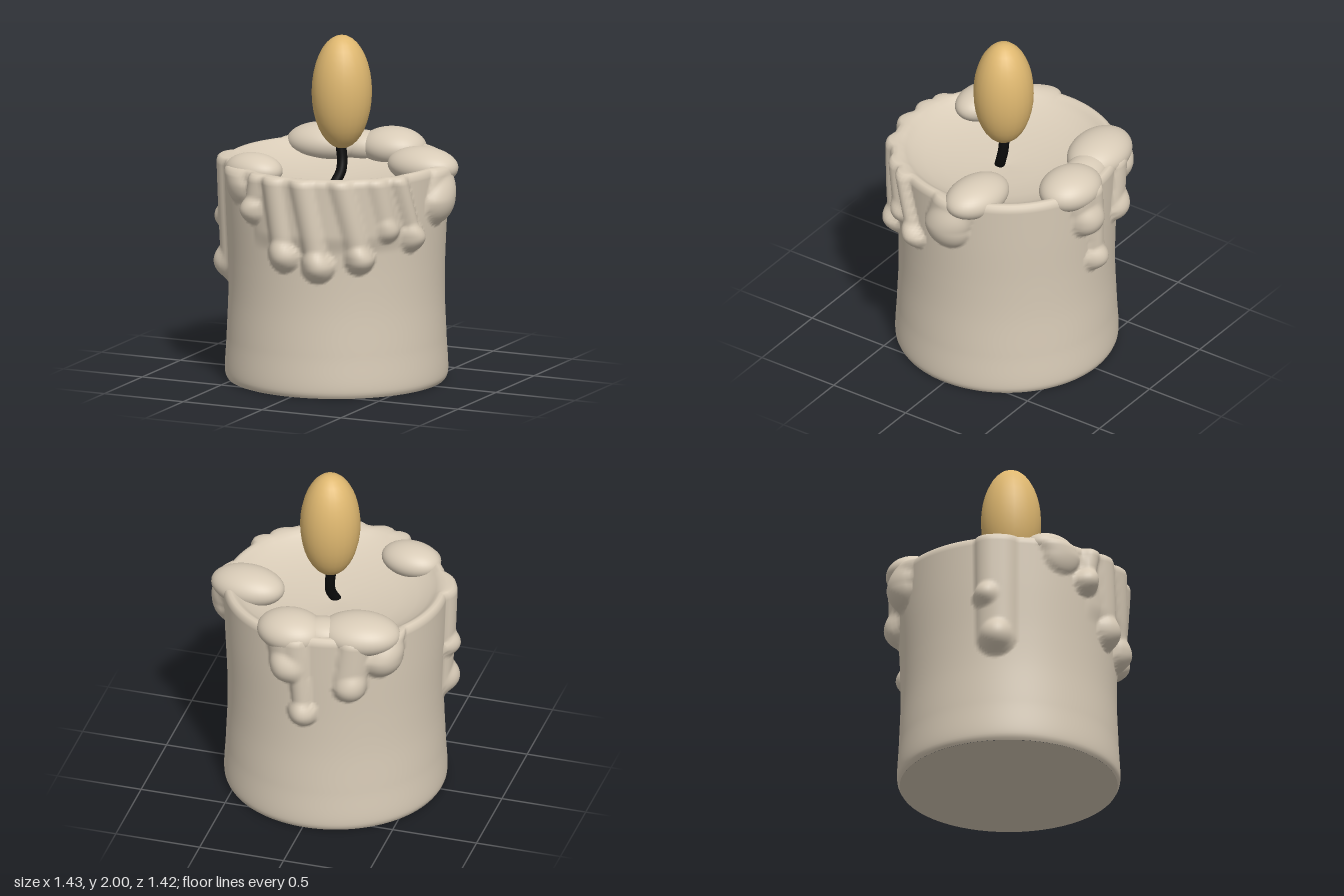
import * as THREE from 'three';

const wax = new THREE.MeshStandardMaterial({ color: 0xd8cbb7 });
wax.name = 'wax';
const flameYellow = new THREE.MeshStandardMaterial({ color: 0xdfb870 });
flameYellow.name = 'flame yellow';
const charBlack = new THREE.MeshStandardMaterial({ color: 0x0b0b0b });
charBlack.name = 'char black';

// Drips: angle at rim and at tip (degrees from the front towards +x),
// height of the tip bulb, stem half width, stem depth, bulb radius, bulb depth
const drips = [
  [-19, -23, 1.07, 0.06, 0.045, 0.085, 0.075],
  [-9, -3, 0.83, 0.075, 0.05, 0.1, 0.075],
  [7, 16, 0.78, 0.075, 0.055, 0.1, 0.08],
  [27, 38, 0.82, 0.075, 0.055, 0.09, 0.08],
  [46, 53, 0.98, 0.07, 0.045, 0.08, 0.055],
  [58, 69, 0.92, 0.06, 0.05, 0.09, 0.075],
  [98, 92, 1.1, 0.15, 0.05, 0.15, 0.085],
  [168, 171, 1.08, 0.11, 0.05, 0.11, 0.085],
  [176, 179, 0.78, 0.06, 0.045, 0.09, 0.075],
  [208, 204, 0.97, 0.1, 0.05, 0.1, 0.075],
  [226, 222, 1.14, 0.11, 0.05, 0.13, 0.085],
  [282, 282, 0.91, 0.07, 0.04, 0.08, 0.08],
  [287, 287, 0.66, 0.12, 0.05, 0.1, 0.085],
  [318, 322, 1.2, 0.12, 0.035, 0.12, 0.035],
];
const RIM = 1.285;
const deg = Math.PI / 180;
const dome = (d2) => Math.pow(Math.max(0, 1 - d2), 0.7);

// Depth of the run-down wax at an angle and height, blended from all drips
function dripDepth(angle, y) {
  let sum = 0;
  for (const [top, tip, yTip, width, depth, bulb, bulbDepth] of drips) {
    const t = Math.min(1, Math.max(0, (RIM - y) / (RIM - yTip)));
    let da = angle - (top + (tip - top) * t) * deg;
    da = Math.atan2(Math.sin(da), Math.cos(da));
    const u = da * 0.65;
    const dy = y - yTip;
    const below = Math.min(0, dy) / width;
    sum += Math.pow(depth * dome((u / width) ** 2 + below ** 2), 3);
    sum += Math.pow(bulbDepth * dome((u * u + dy * dy) / (bulb * bulb)), 3);
  }
  // thin curtain joining the front drips
  const side = Math.abs(angle - 22 * deg) / (44 * deg);
  const curtain = 0.022 * dome(side ** 4) * THREE.MathUtils.smoothstep(y, 0.84, 0.96);
  return Math.cbrt(sum + curtain ** 3);
}

// Wall, rim and melted hollow as one surface: loops of a profile
function waxBodyGeometry() {
  const wall = new THREE.CatmullRomCurve3([
    [0.622, 0.005], [0.635, 0.03], [0.628, 0.25], [0.618, 0.5], [0.62, 0.7], [0.633, 1], [0.642, 1.25],
  ].map(([r, y]) => new THREE.Vector3(r, y, 0)));
  const rows = wall.getSpacedPoints(90).map((p) => [p.x, p.y, 1]);
  rows.push([0.636, 1.27, 1], [0.625, 1.282, 0.9], [0.608, 1.286, 0.5], [0.592, 1.28, 0.15], [0.575, 1.265, 0],
    [0.54, 1.24, 0], [0.47, 1.21, 0], [0.36, 1.18, 0], [0.2, 1.16, 0], [0, 1.15, 0]);
  const cols = 256;
  const positions = [];
  const index = [];
  rows.forEach(([r, y, weight], j) => {
    for (let i = 0; i < cols; i++) {
      const a = (i / cols) * Math.PI * 2;
      const signed = a > Math.PI ? a - Math.PI * 2 : a;
      const radius = r + (weight ? weight * dripDepth(signed, y) : 0);
      positions.push(radius * Math.sin(a) - 0.01, y, radius * Math.cos(a));
      if (j < rows.length - 1) {
        const n = (i + 1) % cols;
        const p = j * cols + i, q = j * cols + n;
        index.push(p, q, q + cols, p, q + cols, p + cols);
      }
    }
  });
  const geometry = new THREE.BufferGeometry();
  geometry.setAttribute('position', new THREE.Float32BufferAttribute(positions, 3));
  geometry.setIndex(index);
  geometry.computeVertexNormals();
  return geometry;
}

export function createModel() {
  const group = new THREE.Group();
  const add = (name, geometry, material, parent = group) => {
    const mesh = new THREE.Mesh(geometry, material);
    mesh.name = name;
    parent.add(mesh);
    return mesh;
  };

  add('waxBody', waxBodyGeometry(), wax);
  const base = add('baseDisc', new THREE.CircleGeometry(0.623, 64), wax);
  base.rotation.x = Math.PI / 2;
  base.position.set(-0.01, 0.004, 0);

  // Soft lumps of wax lying over the rim: centre, half sizes, turn
  const lumps = new THREE.Group();
  lumps.name = 'rimLumps';
  group.add(lumps);
  [
    [0.475, 1.255, -0.13, 0.22, 0.108, 0.15, -0.12],
    [-0.34, 1.26, 0.4, 0.18, 0.095, 0.13, -0.2],
    [-0.29, 1.26, -0.45, 0.235, 0.115, 0.17, 0.1],
    [0.1, 1.255, -0.52, 0.2, 0.115, 0.165, -0.1],
    [-0.09, 1.25, -0.49, 0.18, 0.09, 0.115, 0.1],
  ].forEach(([x, y, z, sx, sy, sz, turn]) => {
    const lump = add('rimLump', new THREE.SphereGeometry(1, 40, 24), wax, lumps);
    lump.position.set(x, y, z);
    lump.scale.set(sx, sy, sz);
    lump.rotation.y = turn;
  });

  // Bent wick
  const path = new THREE.CatmullRomCurve3([
    new THREE.Vector3(0, 1.14, 0.045),
    new THREE.Vector3(0.025, 1.21, 0.015),
    new THREE.Vector3(0.025, 1.28, 0),
    new THREE.Vector3(0.01, 1.4, 0),
  ]);
  add('wick', new THREE.TubeGeometry(path, 16, 0.03, 12), charBlack);

  const flame = add('flame', new THREE.SphereGeometry(1, 24, 18), flameYellow);
  flame.scale.set(0.173, 0.33, 0.173);
  flame.position.set(0.023, 1.67, 0);

  return group;
}
